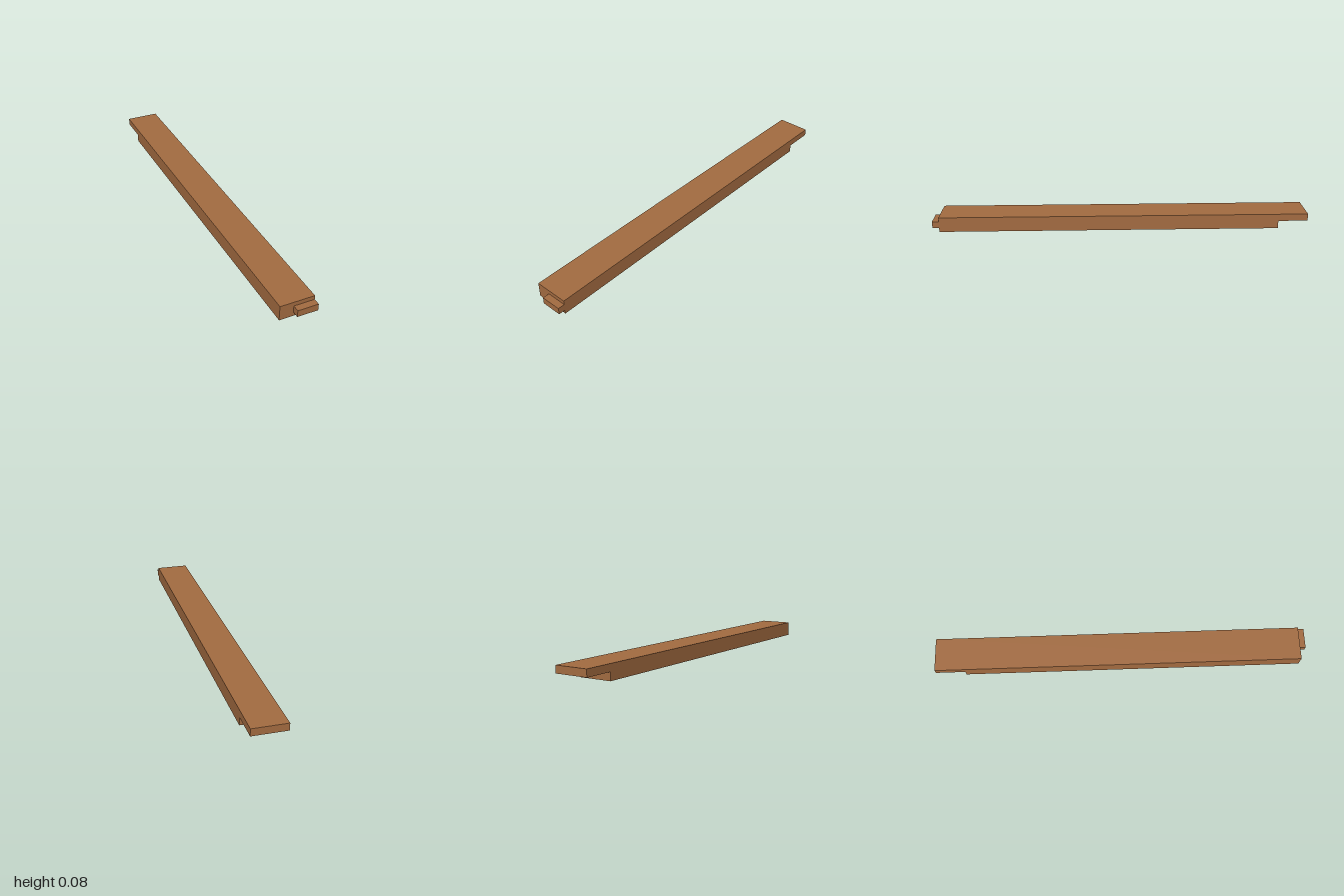
import * as THREE from 'three';

const WIDTH = 0.179, HEIGHT = 0.08;
const BACK = -1, NOTCH = -0.843, SHOULDER = 0.965, FRONT = 1;

export function createModel() {
  const group = new THREE.Group();
  group.name = 'joineryBeam';
  const wood = new THREE.MeshStandardMaterial({ color: 0xa46c41 });
  wood.name = 'brown wood';

  // Beam: side profile (z, y) with a half-lap cut under the back end
  const profile = new THREE.Shape([
    [NOTCH, 0], [SHOULDER, 0], [SHOULDER, HEIGHT],
    [BACK, HEIGHT], [BACK, 0.042], [NOTCH, 0.042],
  ].map(([z, y]) => new THREE.Vector2(z, y)));
  const beamGeometry = new THREE.ExtrudeGeometry(profile, { depth: WIDTH, bevelEnabled: false });
  beamGeometry.rotateY(-Math.PI / 2).translate(WIDTH / 2, 0, 0);
  const beam = new THREE.Mesh(beamGeometry, wood);
  beam.name = 'beam';
  group.add(beam);

  // Tenon: offset tongue on the front end, flush with the left side
  const tenonWidth = WIDTH / 2 + 0.018;
  const tenon = new THREE.Mesh(new THREE.BoxGeometry(tenonWidth, 0.036, FRONT - SHOULDER), wood);
  tenon.name = 'tenon';
  tenon.position.set(WIDTH / 2 - tenonWidth / 2, HEIGHT / 2, (FRONT + SHOULDER) / 2);
  group.add(tenon);

  return group;
}
